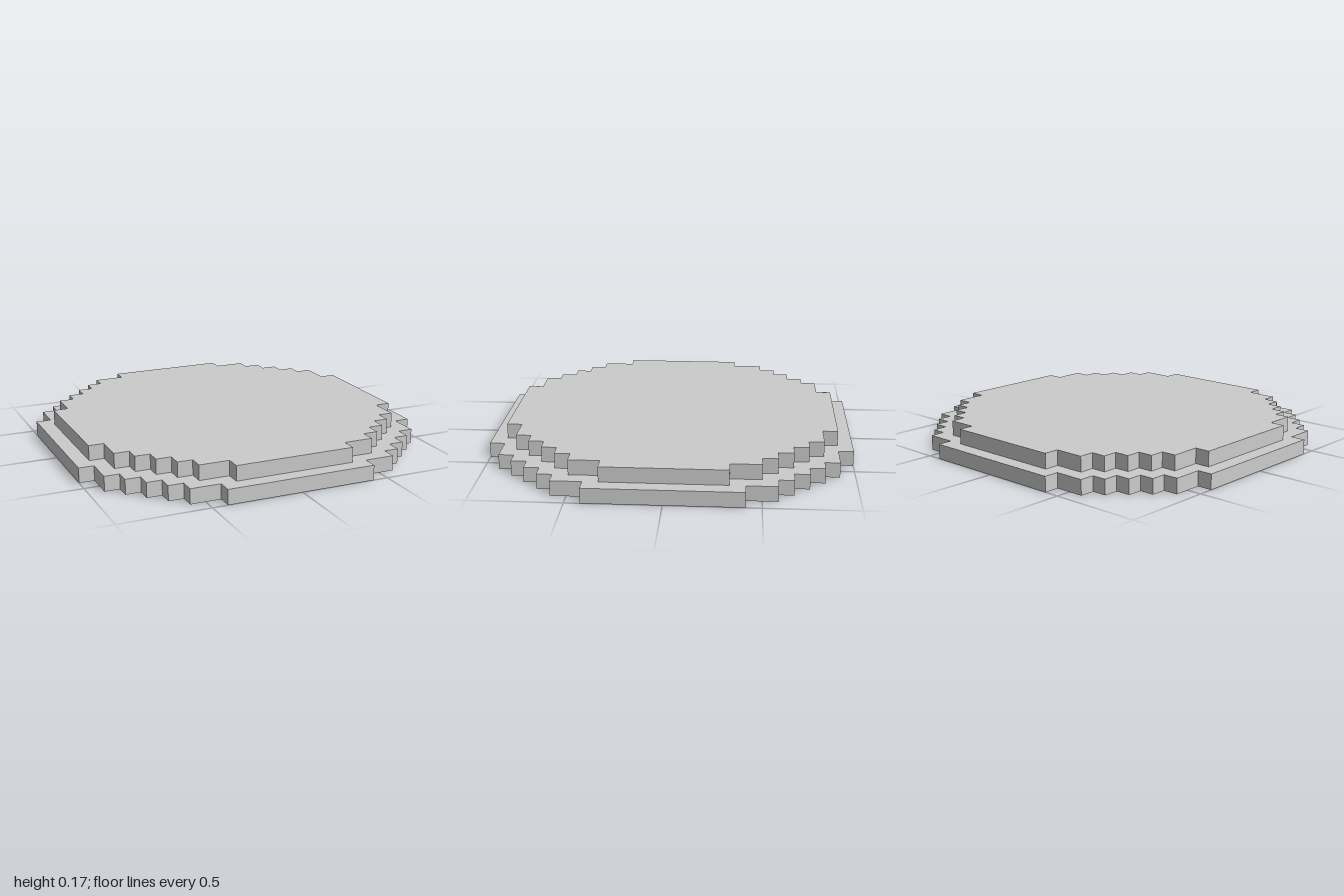
import * as THREE from 'three';

const UNIT = 1 / 12; // size of one block

// Outer block corners of one quadrant of the upper disc, in blocks
const CORNERS = [[11, 4], [10, 6], [9, 7], [8, 8], [7, 9], [6, 10], [4, 11]];

// Stepped outline: one quadrant's staircase turned four times
function steppedDisc(grow) {
  const quadrant = [];
  CORNERS.forEach(([x, y], i) => {
    if (i > 0) quadrant.push([x + grow, CORNERS[i - 1][1] + grow]);
    quadrant.push([x + grow, y + grow]);
  });
  const points = [];
  for (let turn = 0; turn < 4; turn++) {
    for (const [x, y] of quadrant) {
      const [px, py] = [[x, y], [-y, x], [-x, -y], [y, -x]][turn];
      points.push(new THREE.Vector2(px * UNIT, py * UNIT));
    }
  }
  const geometry = new THREE.ExtrudeGeometry(new THREE.Shape(points), { depth: UNIT, bevelEnabled: false });
  return geometry.rotateX(-Math.PI / 2);
}

export function createModel() {
  const group = new THREE.Group();
  group.name = 'steppedRoundPlatform';
  const material = new THREE.MeshStandardMaterial({ color: 0xcccccc, flatShading: true });

  // Wide lower step, then the upper step one block smaller all round
  [['lowerStep', 1], ['upperStep', 0]].forEach(([name, grow], level) => {
    const step = new THREE.Mesh(steppedDisc(grow), material);
    step.name = name;
    step.position.y = level * UNIT;
    group.add(step);
  });
  return group;
}
